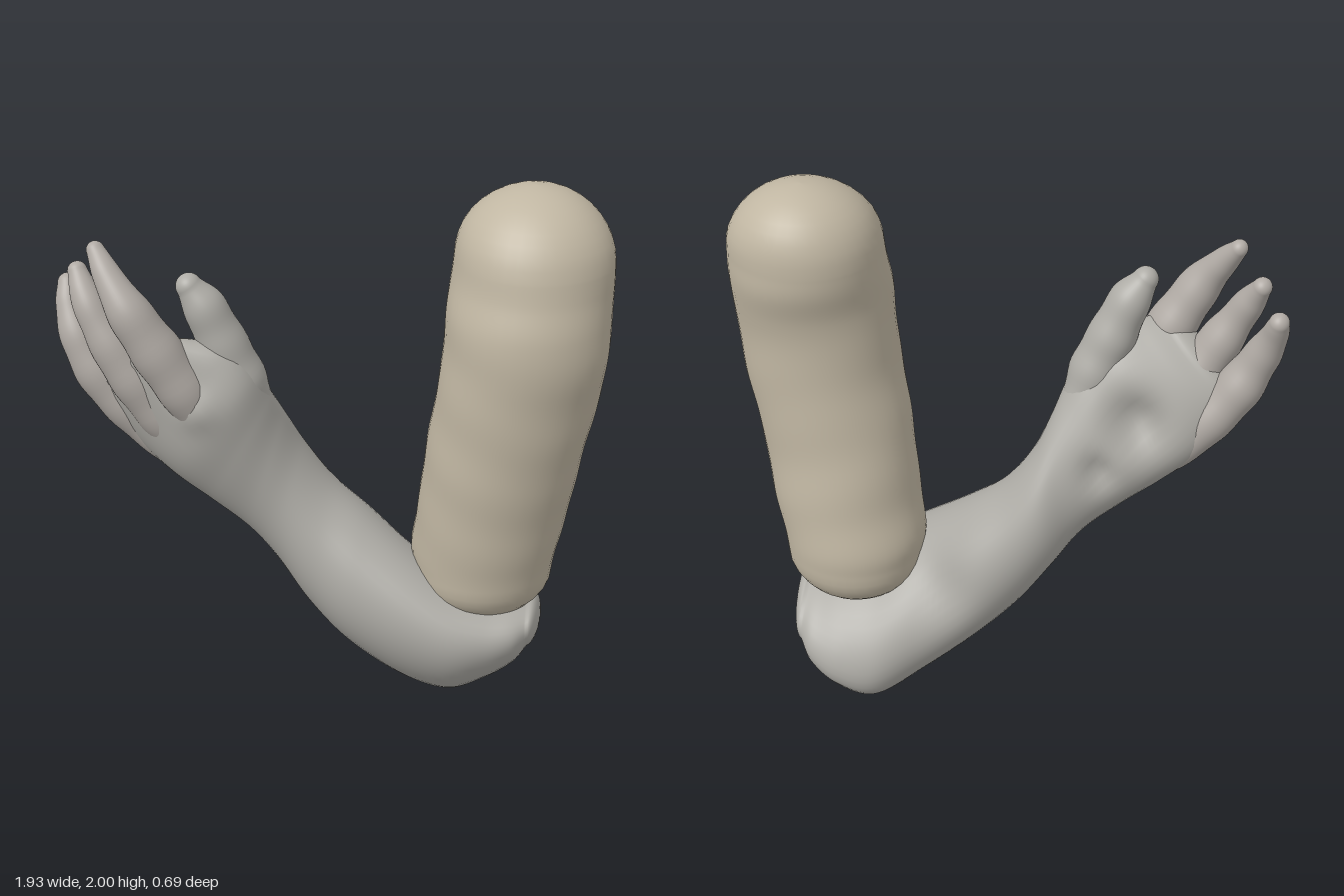
import * as THREE from 'three';

const V = (x, y, z) => new THREE.Vector3(x, y, z);
const SIDES = 40;

// Smooth closed skin through elliptical sections {c: centre, a, b: half axes}, with domed ends.
function loft(name, color, keys, steps, dome0, dome1, shape) {
  const [c, a, b] = ['c', 'a', 'b'].map(k => new THREE.CatmullRomCurve3(keys.map(s => s[k]), false, 'catmullrom'));
  const at = t => ({ c: c.getPoint(t), a: a.getPoint(t), b: b.getPoint(t) });
  const domeRing = (t, dist, k) => {
    const s = at(t), q = k * Math.PI / 2;
    s.c.addScaledVector(c.getTangent(t), dist * Math.sin(q));
    s.a.multiplyScalar(Math.cos(q));
    s.b.multiplyScalar(Math.cos(q));
    return s;
  };
  const rings = [];
  for (let i = 10; i > 0; i--) rings.push(domeRing(0, -dome0, i / 10));
  for (let i = 0; i <= steps; i++) rings.push(at(i / steps));
  for (let i = 1; i <= 10; i++) rings.push(domeRing(1, dome1, i / 10));

  const pos = [], idx = [];
  rings.forEach((r, i) => {
    for (let j = 0; j < SIDES; j++) {
      const q = j / SIDES * Math.PI * 2;
      const p = r.c.clone().addScaledVector(r.a, Math.cos(q)).addScaledVector(r.b, Math.sin(q));
      shape(p, r.c);
      pos.push(p.x, p.y, p.z);
      if (i === rings.length - 1) continue;
      const k = (j + 1) % SIDES, u = i * SIDES, w = u + SIDES;
      idx.push(u + j, u + k, w + j, u + k, w + k, w + j);
    }
  });
  const geo = new THREE.BufferGeometry();
  geo.setAttribute('position', new THREE.Float32BufferAttribute(pos, 3));
  geo.setIndex(idx);
  geo.computeVertexNormals();
  const mesh = new THREE.Mesh(geo, new THREE.MeshStandardMaterial({ color }));
  mesh.name = name;
  return mesh;
}

// Finger along points [x, y, z, radius], with slightly uneven skin
function finger(name, color, pts) {
  const path = new THREE.CatmullRomCurve3(pts.map(p => V(p[0], p[1], p[2])));
  const keys = pts.map((p, i) => {
    const t = path.getTangent(i / (pts.length - 1));
    const a = V(0, 0, 1).cross(t).normalize();
    const b = t.clone().cross(a);
    return { c: V(p[0], p[1], p[2]), a: a.multiplyScalar(p[3]), b: b.multiplyScalar(p[3] * 1.05) };
  });
  return loft(name, color, keys, 36, 0.06, pts[pts.length - 1][3],
    (p, c) => p.sub(c).multiplyScalar(1 + 0.03 * Math.sin(c.y * 45)).add(c));
}

export function createModel() {
  const model = new THREE.Group();
  model.name = 'bentArm';
  const skin = 0xaeaca6, fingerSkin = 0xb0aaa4, sleeve = 0xc0b6a2;

  // Upper arm: y, x min, x max, z min, z max
  const upper = [
    [0.56, 0.30, 0.805, -0.275, 0.24],
    [0.65, 0.295, 0.82, -0.275, 0.25],
    [0.80, 0.315, 0.85, -0.25, 0.27],
    [1.00, 0.335, 0.88, -0.22, 0.30],
    [1.20, 0.365, 0.92, -0.20, 0.32],
    [1.40, 0.39, 0.95, -0.19, 0.345],
    [1.56, 0.40, 0.96, -0.205, 0.345],
    [1.68, 0.41, 0.96, -0.23, 0.315],
    [1.76, 0.415, 0.955, -0.237, 0.30],
  ].map(([y, x0, x1, z0, z1]) => ({
    c: V((x0 + x1) / 2, y, (z0 + z1) / 2),
    a: V(0, 0, (z1 - z0) / 2),
    b: V((x1 - x0) / 2, 0, 0),
  }));
  model.add(loft('upperArm', sleeve, upper, 60, 0.19, 0.242, (p, c) => {
    // soft muscle lumps
    const k = 1 + 0.012 * Math.sin(p.y * 19 + p.x * 6) * Math.sin(p.z * 9 + p.y * 4);
    p.x = c.x + (p.x - c.x) * k;
    p.z = c.z + (p.z - c.z) * k;
  }));

  // Forearm, elbow to knuckles: upper edge x y z, lower edge x y z, half depth
  const fore = [
    [0.725, 0.445, 0.08, 0.735, 0.215, -0.14, 0.19],
    [0.67, 0.455, 0.09, 0.69, 0.14, -0.16, 0.24],
    [0.58, 0.47, 0.10, 0.59, 0.055, -0.17, 0.27],
    [0.45, 0.52, 0.10, 0.45, -0.002, -0.14, 0.285],
    [0.30, 0.62, 0.07, 0.28, 0.075, -0.06, 0.265],
    [0.13, 0.75, 0.02, 0.08, 0.225, -0.01, 0.24],
    [0.00, 0.86, 0.00, -0.07, 0.38, 0.00, 0.205],
    [-0.10, 1.00, 0.01, -0.19, 0.55, 0.00, 0.18],
    [-0.16, 1.13, 0.05, -0.29, 0.68, 0.03, 0.16],
    [-0.20, 1.23, 0.10, -0.43, 0.80, 0.05, 0.165],
    [-0.25, 1.34, 0.15, -0.56, 0.90, 0.06, 0.17],
    [-0.33, 1.43, 0.17, -0.69, 1.02, 0.06, 0.145],
    [-0.45, 1.46, 0.20, -0.77, 1.15, 0.08, 0.105],
    [-0.53, 1.47, 0.22, -0.80, 1.22, 0.09, 0.075],
  ].map(([ux, uy, uz, lx, ly, lz, h]) => ({
    c: V((ux + lx) / 2, (uy + ly) / 2, (uz + lz) / 2),
    a: V((ux - lx) / 2, (uy - ly) / 2, (uz - lz) / 2),
    b: V(0, 0, -h),
  }));
  const near = (p, x, y, r) => Math.exp(-((p.x - x) ** 2 + (p.y - y) ** 2) / (r * r));
  model.add(loft('forearmAndHand', skin, fore, 110, 0.055, 0.05, (p, c) => {
    if (p.z < c.z) {
      // cupped palm and the groove behind the forearm
      const depth = Math.min(1, (c.z - p.z) / 0.1);
      p.z += depth * (0.08 * near(p, -0.47, 1.16, 0.10) + 0.04 * near(p, -0.34, 0.98, 0.06)
        + 0.05 * near(p, 0.22, 0.50, 0.12));
    } else {
      // knuckle on the back of the hand
      p.z += 0.03 * near(p, -0.43, 1.23, 0.07);
    }
  }));

  // Fingers and thumb, each rooted inside the hand
  const digits = {
    thumb: [[-0.235, 1.08, 0.06, 0.06], [-0.30, 1.28, 0.11, 0.09], [-0.365, 1.44, 0.13, 0.085],
      [-0.42, 1.57, 0.145, 0.072], [-0.465, 1.64, 0.155, 0.047]],
    indexFinger: [[-0.36, 1.04, 0.15, 0.06], [-0.46, 1.25, 0.215, 0.085], [-0.565, 1.43, 0.245, 0.087],
      [-0.66, 1.59, 0.26, 0.072], [-0.73, 1.695, 0.225, 0.048], [-0.775, 1.765, 0.185, 0.032]],
    middleFinger: [[-0.47, 0.98, 0.11, 0.06], [-0.585, 1.16, 0.14, 0.085], [-0.70, 1.35, 0.17, 0.083],
      [-0.79, 1.51, 0.17, 0.063], [-0.835, 1.60, 0.145, 0.05], [-0.862, 1.66, 0.115, 0.035]],
    outerFinger: [[-0.54, 0.95, 0.06, 0.055], [-0.67, 1.09, 0.07, 0.078], [-0.80, 1.26, 0.09, 0.083],
      [-0.875, 1.40, 0.09, 0.067], [-0.915, 1.51, 0.055, 0.05], [-0.927, 1.58, 0.02, 0.035]],
  };
  for (const [name, pts] of Object.entries(digits)) {
    model.add(finger(name, name === 'thumb' ? skin : fingerSkin, pts));
  }
  return model;
}
